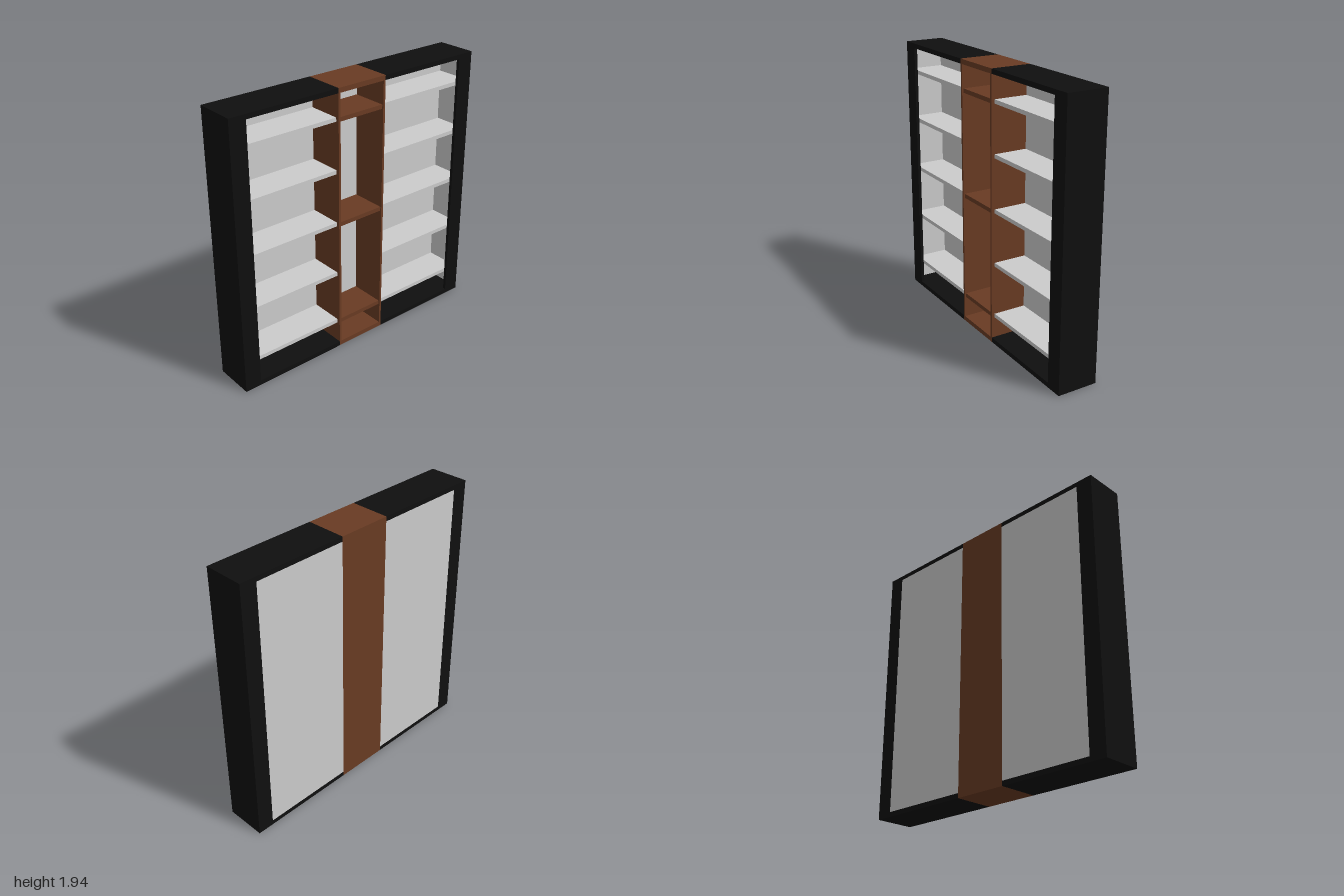
import * as THREE from 'three';

const H = 1.936, X = 0.145, T = 0.034; // height, half depth, top/bottom board thickness
const INNER_BACK = -0.12;              // face of the inner back panel
const COL = 0.196;                     // half width of the centre column
const FASCIA = 0.88;                   // inner edge of the face strips

export function createModel() {
  const group = new THREE.Group();
  const grey = new THREE.MeshStandardMaterial({ color: 0xcccccc });
  const black = new THREE.MeshStandardMaterial({ color: 0x0f0f0f });
  const brown = new THREE.MeshStandardMaterial({ color: 0x693b23 });

  // Box given by its extents on each axis
  const board = (name, mat, x0, x1, y0, y1, z0, z1) => {
    const mesh = new THREE.Mesh(new THREE.BoxGeometry(x1 - x0, y1 - y0, z1 - z0), mat);
    mesh.position.set((x0 + x1) / 2, (y0 + y1) / 2, (z0 + z1) / 2);
    mesh.name = name;
    group.add(mesh);
  };
  // Same board on both sides of z = 0
  const pair = (name, mat, x0, x1, y0, y1, z0, z1) => {
    board(name + 'Left', mat, x0, x1, y0, y1, z0, z1);
    board(name + 'Right', mat, x0, x1, y0, y1, -z1, -z0);
  };

  // Black outer casing: top, bottom, ends, and strips along the open and rear faces
  pair('casingTop', black, -X, X, H - T, H, COL, 1);
  pair('casingBottom', black, -X, X, 0, T, COL, 1);
  pair('casingEnd', black, -X, X, T, H - T, 0.985, 1);
  pair('faceStrip', black, X - 0.022, X, T, H - T, FASCIA, 0.985);
  pair('rearStrip', black, -X, -0.13, T, H - T, FASCIA, 0.985);

  // Grey lining: back panels and end panels
  board('innerBack', grey, -0.13, INNER_BACK, T, H - T, -0.985, 0.985);
  pair('rearPanel', grey, -X, -0.13, T, H - T, COL, FASCIA);
  pair('endLining', grey, INNER_BACK, X - 0.022, T, H - T, 0.975, 0.985);

  // Brown centre column
  board('columnTop', brown, -X, X, H - T, H, -COL, COL);
  board('columnBottom', brown, -X, X, 0, T, -COL, COL);
  board('columnBack', brown, -X, -0.13, T, H - T, -COL, COL);
  pair('columnUpright', brown, INNER_BACK, X, T, H - T, 0.18, COL);
  for (const y of [0.203, 0.974, 1.722]) {
    board('columnShelf', brown, INNER_BACK, X - 0.01, y - 0.015, y + 0.015, -0.18, 0.18);
  }

  // Grey shelves in both side bays, running behind the face strips
  for (const y of [0.2, 0.587, 0.975, 1.358, 1.722]) {
    pair('sideShelf', grey, INNER_BACK, X - 0.024, y - 0.014, y + 0.014, COL, 0.975);
  }
  return group;
}
